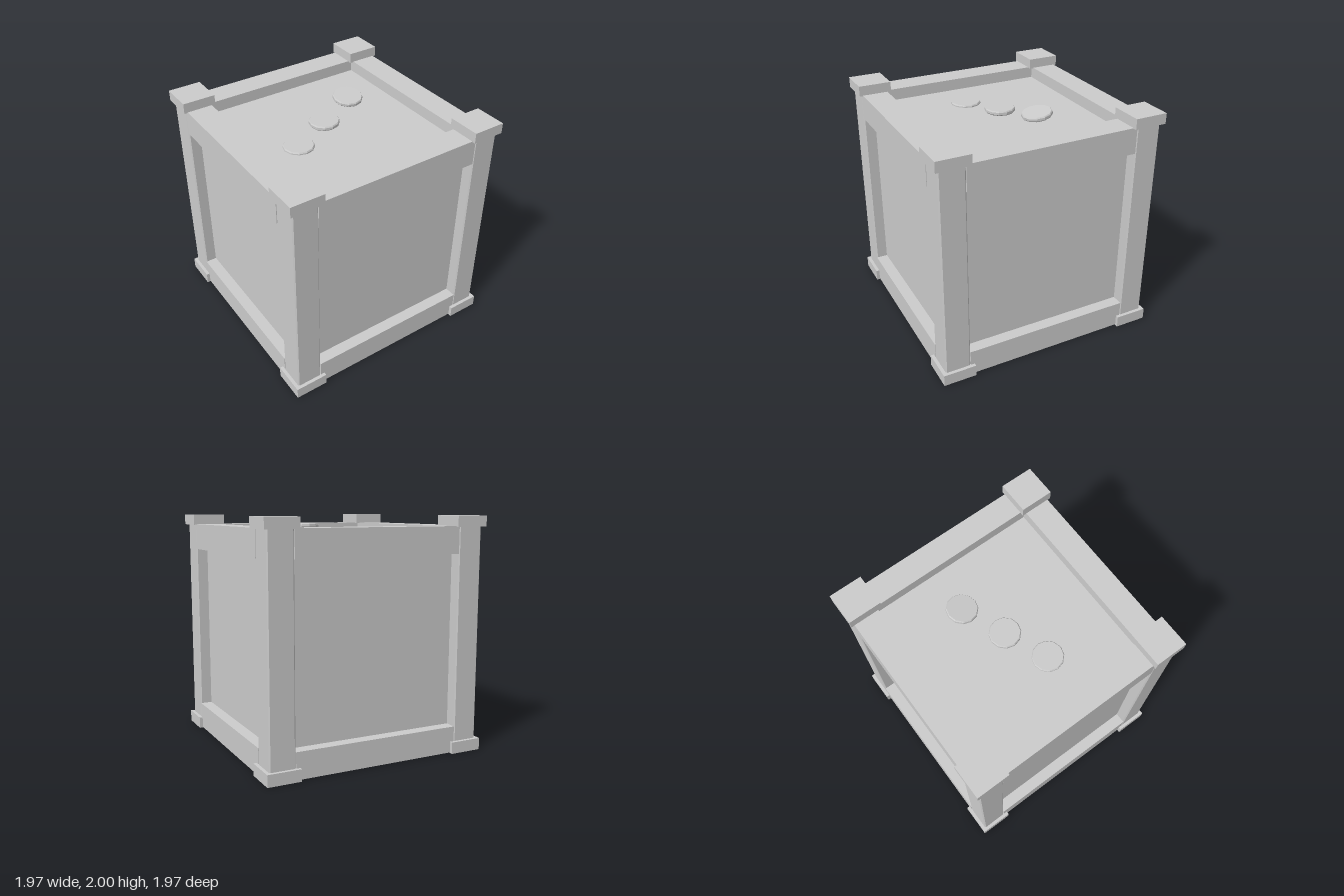
import * as THREE from 'three';

export function createModel() {
  const model = new THREE.Group();
  model.name = 'crate';
  const grey = new THREE.MeshStandardMaterial({ color: 0xcccccc, flatShading: true });
  grey.name = 'light grey';
  const tan = new THREE.MeshStandardMaterial({ color: 0xd6c484, flatShading: true });
  tan.name = 'tan base';

  const add = (name, geometry, material, x, y, z, parent = model) => {
    const mesh = new THREE.Mesh(geometry, material);
    mesh.name = name;
    mesh.position.set(x, y, z);
    parent.add(mesh);
    return mesh;
  };

  // Recessed panels and the underside plate
  add('panelBody', new THREE.BoxGeometry(1.71, 1.79, 1.71), grey, 0, 0.92, 0);
  add('bottomPlate', new THREE.BoxGeometry(1.47, 0.008, 1.47), tan, 0, 0.019, 0);

  // Corner posts with chamfered edges
  const h = 0.11, c = 0.1;
  const outline = new THREE.Shape([
    [h, -c], [h, c], [c, h], [-c, h], [-h, c], [-h, -c], [-c, -h], [c, -h],
  ].map(([x, y]) => new THREE.Vector2(x, y)));
  const postGeometry = new THREE.ExtrudeGeometry(outline, { depth: 1.84, bevelEnabled: false });
  postGeometry.rotateX(-Math.PI / 2);
  const capGeometry = new THREE.BoxGeometry(0.285, 0.1, 0.285);
  const topCapGeometry = new THREE.BoxGeometry(0.285, 0.09, 0.285);
  for (const sx of [-1, 1]) {
    for (const sz of [-1, 1]) {
      add('cornerPost', postGeometry, grey, sx * 0.846, 0.08, sz * 0.846);
      add('cornerFoot', capGeometry, grey, sx * 0.8425, 0.05, sz * 0.8425);
      add('cornerCap', topCapGeometry, grey, sx * 0.8425, 1.955, sz * 0.8425);
    }
  }

  // Upper and lower rails on all four sides
  const railGeometry = new THREE.BoxGeometry(1.47, 0.225, 0.222);
  for (let i = 0; i < 4; i++) {
    const side = new THREE.Group();
    side.name = 'sideRails';
    side.rotation.y = i * Math.PI / 2;
    add('lowerRail', railGeometry, grey, 0, 0.1175, 0.845, side);
    add('upperRail', railGeometry, grey, 0, 1.8025, 0.845, side);
    model.add(side);
  }

  // Three bevelled discs rising in steps, the last one tilted
  const discGeometry = new THREE.LatheGeometry([
    [0, -0.04], [0.12, -0.04], [0.13, -0.03], [0.13, -0.01], [0.123, 0], [0, 0],
  ].map(([x, y]) => new THREE.Vector2(x, y)), 12);
  const discs = [[-0.385, 1.835, 0.125, 0], [-0.035, 1.872, -0.035, 0], [0.315, 1.921, -0.195, 0.147]];
  for (const [x, y, z, tilt] of discs) {
    add('topDisc', discGeometry, grey, x, y, z).rotation.x = tilt;
  }
  return model;
}
